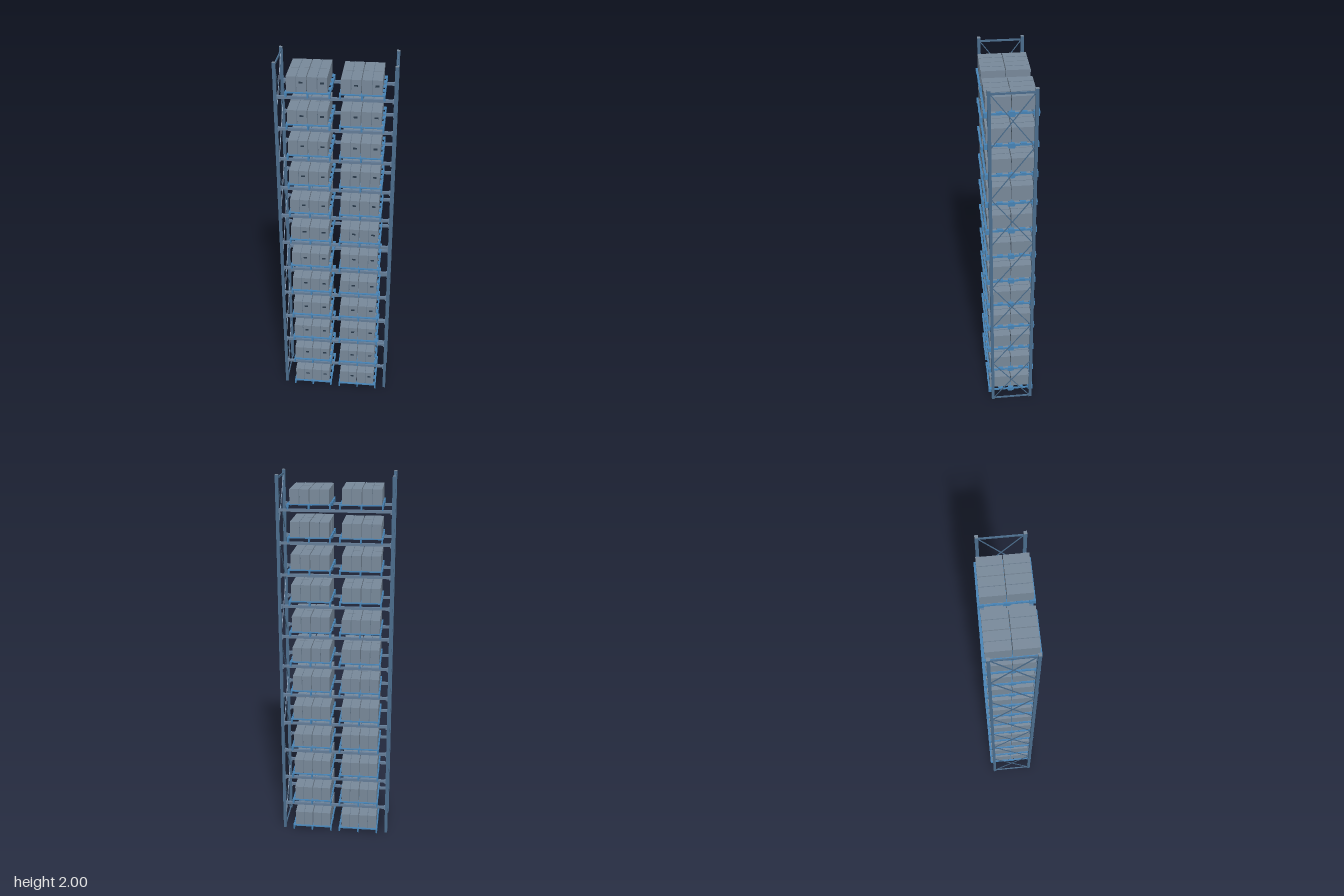
import * as THREE from 'three';

const LEVELS = 12, STEP = 1 / 6, POST_X = 0.29, POST_Z = 0.109;

const paint = (color) => new THREE.MeshStandardMaterial({ color });
const steel = paint(0x4a6c8c), beamSteel = paint(0x647d98), palletBlue = paint(0x4682b4);
const carton = paint(0x778899), tapeGrey = paint(0x66788a), labelDark = paint(0x2a3b4c);

function box(parent, name, material, size, pos) {
  const mesh = new THREE.Mesh(new THREE.BoxGeometry(...size), material);
  mesh.name = name;
  mesh.position.set(...pos);
  parent.add(mesh);
  return mesh;
}

// Thin rod between two points in a frame's plane
function rod(parent, x, y0, z0, y1, z1) {
  const dy = y1 - y0, dz = z1 - z0;
  const mesh = box(parent, 'diagonalBrace', steel, [0.004, Math.hypot(dy, dz), 0.004],
    [x, (y0 + y1) / 2, (z0 + z1) / 2]);
  mesh.rotation.x = Math.atan2(dz, dy);
}

// Upright frame: two posts, end bars and alternating cross bracing
function uprightFrame(x) {
  const frame = new THREE.Group();
  frame.name = 'uprightFrame';
  for (const s of [-1, 1]) {
    box(frame, 'post', steel, [0.016, 1.998, 0.016], [x, 0.999, s * POST_Z]);
    box(frame, 'postCap', carton, [0.016, 0.002, 0.016], [x, 1.999, s * POST_Z]);
  }
  const bottom = 0.005, top = 1.98, panels = 7, h = (top - bottom) / panels;
  for (const y of [bottom, top]) box(frame, 'endBar', steel, [0.006, 0.009, 2 * POST_Z], [x, y, 0]);
  for (let i = 0; i < panels; i++) {
    const y = bottom + i * h;
    rod(frame, x, y, 0.105, y + h, -0.105);
    if (i % 2 === 0) rod(frame, x, y, -0.105, y + h, 0.105);
  }
  return frame;
}

// Stringer side profile with two fork notches, extruded across its thickness
function stringerGeometry() {
  const shape = new THREE.Shape([
    [-0.131, 0], [-0.105, 0], [-0.1, 0.013], [-0.02, 0.013], [-0.015, 0],
    [0.015, 0], [0.02, 0.013], [0.1, 0.013], [0.105, 0], [0.131, 0],
    [0.131, 0.021], [-0.131, 0.021],
  ].map(([a, b]) => new THREE.Vector2(a, b)));
  const geometry = new THREE.ExtrudeGeometry(shape, { depth: 0.008, bevelEnabled: false });
  return geometry.translate(0, 0, -0.004).rotateY(Math.PI / 2);
}
const stringerShape = stringerGeometry();

function pallet() {
  const group = new THREE.Group();
  group.name = 'pallet';
  for (const x of [-0.106, 0, 0.106]) {
    const stringer = new THREE.Mesh(stringerShape, palletBlue);
    stringer.name = 'stringer';
    stringer.position.x = x;
    group.add(stringer);
  }
  for (let i = -2; i <= 2; i++) {
    box(group, 'deckBoard', palletBlue, [0.22, 0.005, 0.03], [0, 0.0235, i * 0.058]);
  }
  return group;
}

// Carton with a tape seam over the top and ends, and a front label
function cartonBox(height) {
  const group = new THREE.Group();
  group.name = 'carton';
  box(group, 'cartonBody', carton, [0.097, height, 0.119], [0, height / 2, 0]);
  box(group, 'tapeSeam', tapeGrey, [0.003, height, 0.1205], [0, height / 2 + 0.0007, 0]);
  box(group, 'label', labelDark, [0.019, 0.009, 0.001], [0.023, height - 0.029, 0.0598]);
  return group;
}

function palletLoad(x, height) {
  const group = new THREE.Group();
  group.name = 'palletLoad';
  group.add(pallet());
  for (const sx of [-1, 1]) for (const sz of [-1, 1]) {
    const item = cartonBox(height);
    item.position.set(-0.0035 + sx * 0.0505, 0.026, sz * 0.0615);
    group.add(item);
  }
  group.position.x = x;
  return group;
}

export function createModel() {
  const model = new THREE.Group();
  model.name = 'palletRack';
  for (const s of [-1, 1]) model.add(uprightFrame(s * POST_X));

  // Load heights vary slightly, left and right columns from the ground up
  const heights = [
    [80, 79, 77, 80, 77, 77, 75, 72, 75, 77, 72, 77],
    [82, 77, 80, 72, 75, 82, 75, 82, 85, 77, 77, 72],
  ];
  for (let level = 0; level < LEVELS; level++) {
    const shelf = new THREE.Group();
    shelf.name = 'shelfLevel';
    shelf.position.y = level * STEP;
    if (level > 0) {
      for (const sz of [-1, 1]) {
        box(shelf, 'loadBeam', beamSteel, [0.564, 0.014, 0.013], [0, -0.0075, sz * POST_Z]);
        for (const sx of [-1, 1]) {
          box(shelf, 'beamConnector', beamSteel, [0.006, 0.022, 0.017], [sx * 0.279, -0.01, sz * POST_Z]);
        }
      }
    }
    [-0.131, 0.131].forEach((x, i) => shelf.add(palletLoad(x, heights[i][level] / 1000)));
    model.add(shelf);
  }
  return model;
}
